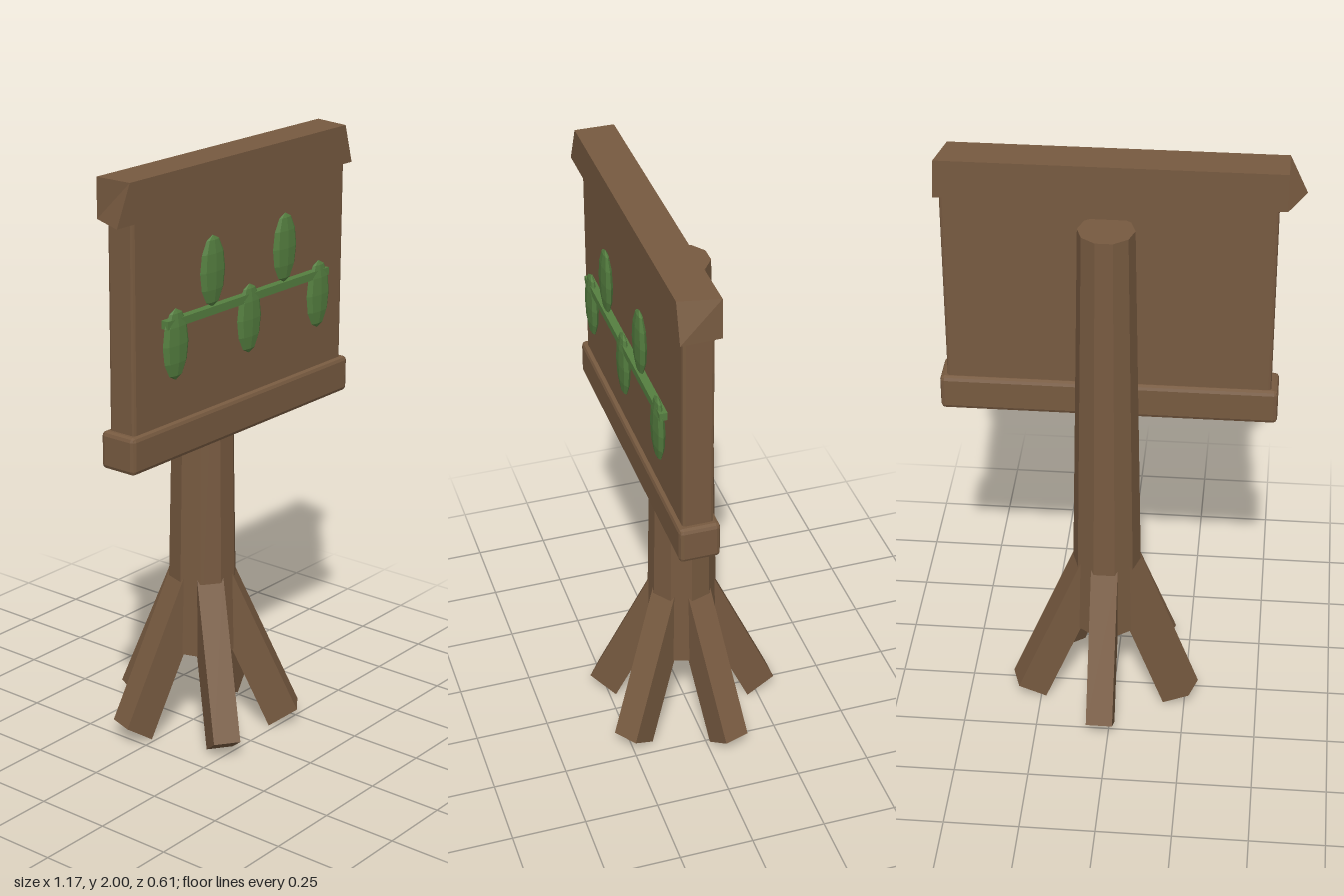
import * as THREE from 'three';
import { RoundedBoxGeometry } from 'three/addons/geometries/RoundedBoxGeometry.js';

export function createModel() {
  const model = new THREE.Group();
  model.name = 'signpost';
  const wood = new THREE.MeshStandardMaterial({ color: 0x775a40, flatShading: true });
  wood.name = 'brown wood';
  const green = new THREE.MeshStandardMaterial({ color: 0x557f40, flatShading: true });
  green.name = 'leaf green';

  const add = (name, geometry, material, x, y, z) => {
    const mesh = new THREE.Mesh(geometry, material);
    mesh.name = name;
    mesh.position.set(x, y, z);
    model.add(mesh);
    return mesh;
  };
  const cx = 0.028, cz = 0.016; // post axis

  // Tapered ten-sided post with flats towards front and back
  const post = new THREE.CylinderGeometry(0.091, 0.12, 1.525, 10);
  post.rotateY(Math.PI / 10 * 5);
  add('post', post, wood, cx, 1.0475, cz);

  // Five splayed legs, each a slanted bar with an angled foot
  const legShape = new THREE.Shape([
    [0.23, 0], [0.325, 0.063], [0.1, 0.565], [0.005, 0.502],
  ].map(([r, y]) => new THREE.Vector2(r, y)));
  const legGeometry = new THREE.ExtrudeGeometry(legShape, { depth: 0.09, bevelEnabled: false });
  legGeometry.translate(0, 0, -0.045);
  for (let i = 0; i < 5; i++) {
    add('leg', legGeometry, wood, cx, 0, cz).rotation.y = Math.PI / 2 + i * Math.PI * 2 / 5;
  }

  // Board and chamfered bottom rail
  add('board', new RoundedBoxGeometry(1.06, 0.8, 0.1, 1, 0.01), wood, 0.028, 1.5, 0.131);
  add('bottomRail', new RoundedBoxGeometry(1.107, 0.122, 0.132, 1, 0.014), wood, 0.028, 1.145, 0.131);

  // Roof beam with crooked, flared ends
  const roof = new THREE.BoxGeometry(1, 0.128, 0.13);
  const p = roof.attributes.position;
  for (let i = 0; i < p.count; i++) {
    const top = p.getY(i) > 0, front = p.getZ(i) > 0;
    const left = front ? (top ? 0.542 : 0.58) : (top ? 0.568 : 0.575);
    const right = front && !top ? -0.587 : -0.528;
    p.setX(i, p.getX(i) > 0 ? left : right);
  }
  roof.computeVertexNormals();
  add('roofBeam', roof, wood, 0, 1.936, 0.13);

  // Painted-on twig with five faceted leaves
  add('twig', new THREE.BoxGeometry(0.82, 0.026, 0.026), green, 0.028, 1.535, 0.202);
  const leaf = new THREE.SphereGeometry(1, 8, 6);
  leaf.scale(0.061, 0.114, 0.016);
  const leaves = [[-0.157, 1.66], [0.208, 1.66], [-0.335, 1.466], [0.027, 1.466], [0.391, 1.466]];
  for (const [x, y] of leaves) add('leaf', leaf, green, x, y, 0.206);

  return model;
}
